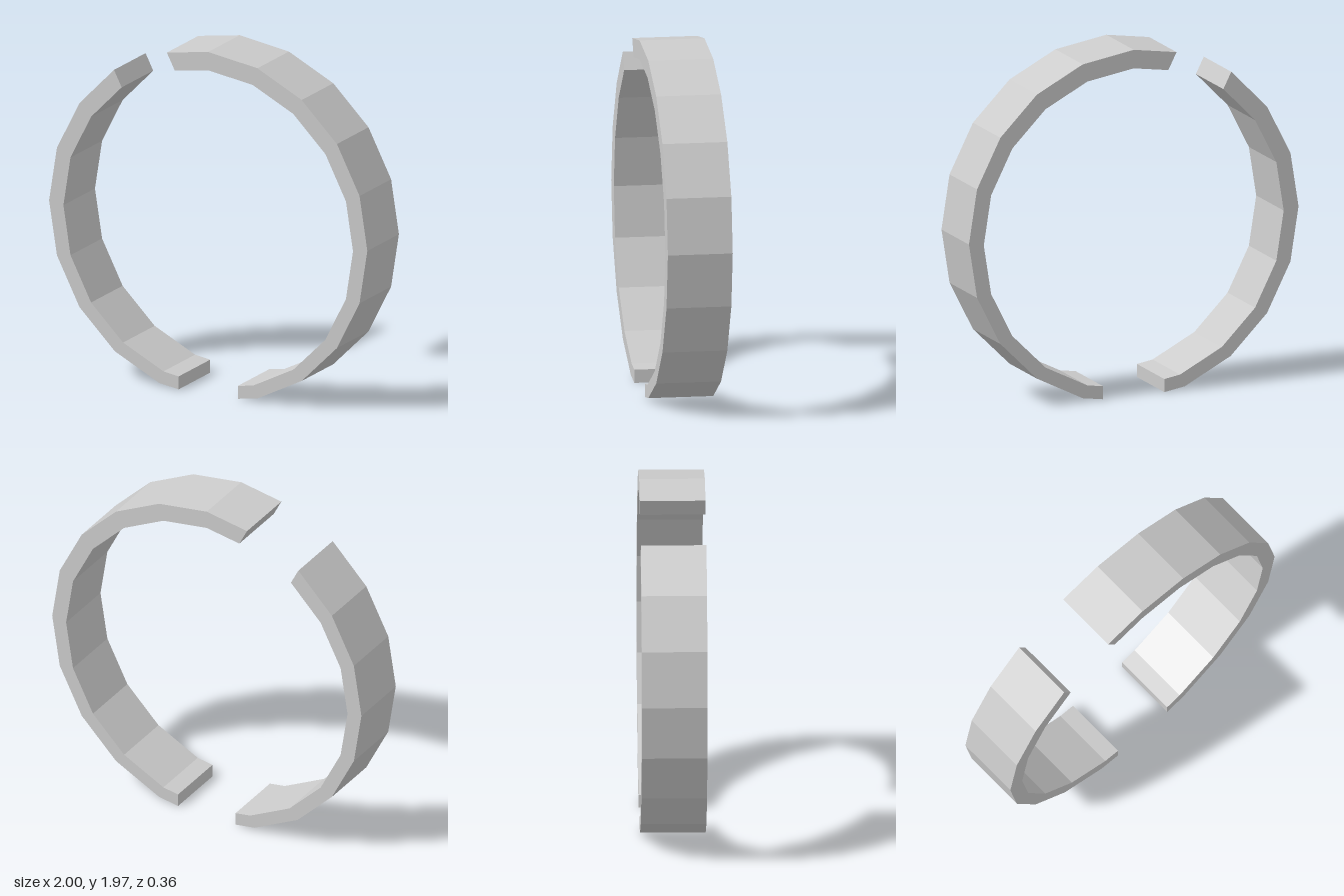
import * as THREE from 'three';

const DEPTH = 0.362;
const SIDES = 20;
const outer = { r: 1, cy: 0.9705 };
const inner = { r: 0.91, cy: 0.955 };

// Corner k of a 20-sided ring, counted from the bottom
function corner(ring, k, side) {
  const a = (k / SIDES) * Math.PI * 2;
  return new THREE.Vector2(side * ring.r * Math.sin(a), ring.cy - ring.r * Math.cos(a));
}

// One faceted band: from the bottom gap up to the cut end at the top
function band(name, side, last, outerEnd, innerEnd) {
  const out = [new THREE.Vector2(side * 0.186, 0)];
  const inn = [new THREE.Vector2(side * 0.186, 0.0745)];
  for (let k = 1; k <= last; k++) {
    out.push(corner(outer, k, side));
    inn.push(corner(inner, k, side));
  }
  out.push(new THREE.Vector2(...outerEnd));
  inn.push(new THREE.Vector2(...innerEnd));
  const geometry = new THREE.ExtrudeGeometry(new THREE.Shape([...out, ...inn.reverse()]), {
    depth: DEPTH, bevelEnabled: false,
  });
  geometry.translate(0, 0, -DEPTH / 2);
  const mesh = new THREE.Mesh(geometry, new THREE.MeshStandardMaterial({ color: 0xcccccc, flatShading: true }));
  mesh.name = name;
  return mesh;
}

export function createModel() {
  const group = new THREE.Group();
  group.name = 'splitRing';
  // Long band runs past the top, short band stops before the upper gap
  group.add(band('leftBand', 1, 10, [-0.26, 1.929], [-0.21, 1.832]));
  group.add(band('rightBand', -1, 7, [-0.592, 1.781], [-0.544, 1.687]));
  // The short band's last corner is replaced by its cut end
  return group;
}
